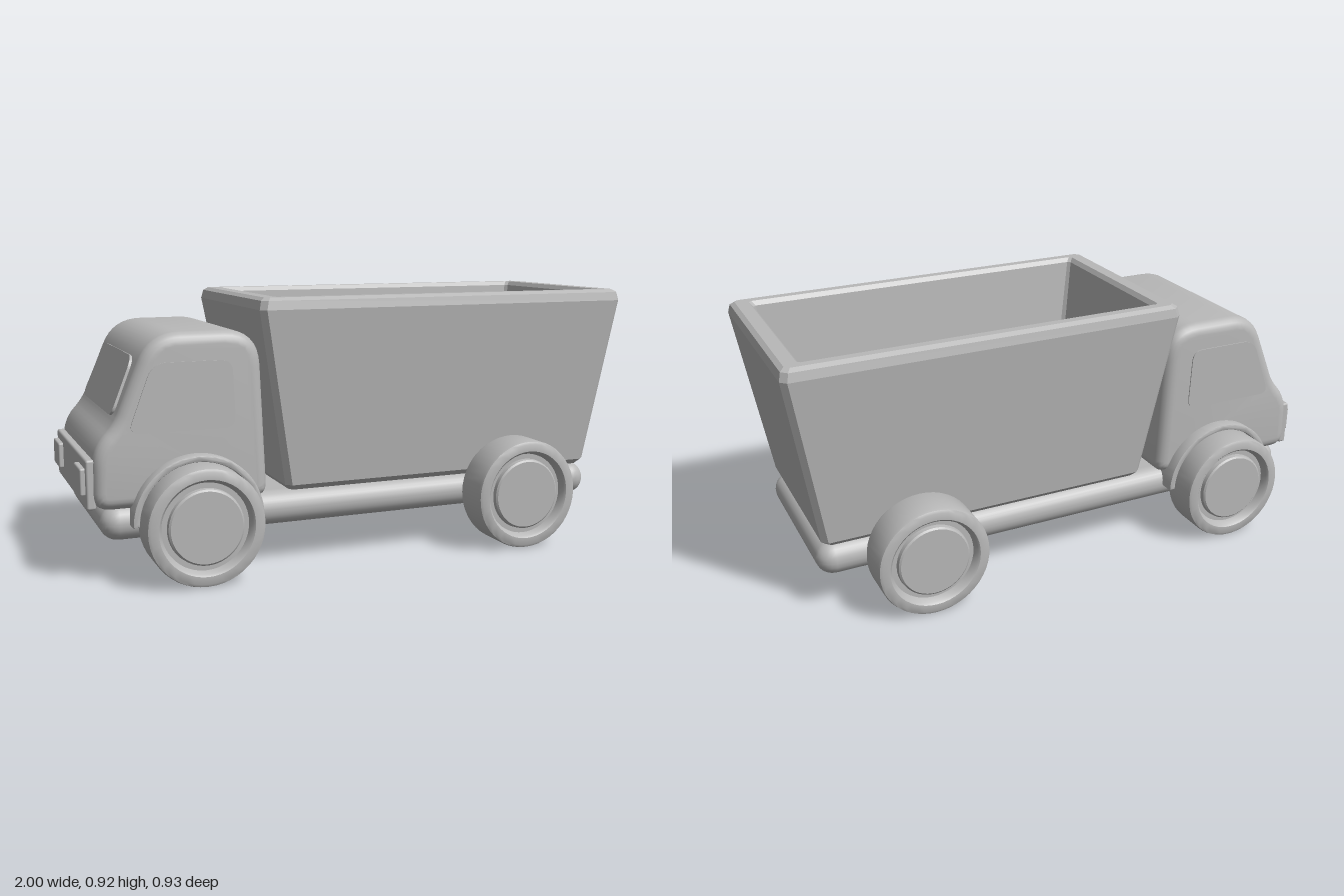
import * as THREE from 'three';
import { toCreasedNormals } from 'three/addons/utils/BufferGeometryUtils.js';
import { RoundedBoxGeometry } from 'three/addons/geometries/RoundedBoxGeometry.js';

// Closed shape from corners [x, y, radius], each corner rounded
function roundedShape(corners) {
  const shape = new THREE.Shape();
  const n = corners.length;
  corners.forEach(([x, y, r], i) => {
    const toward = ([px, py]) => {
      const d = Math.hypot(px - x, py - y);
      return [x + ((px - x) * r) / d, y + ((py - y) * r) / d];
    };
    const a = toward(corners[(i + n - 1) % n]);
    const b = toward(corners[(i + 1) % n]);
    if (i === 0) shape.moveTo(...a);
    else shape.lineTo(...a);
    shape.quadraticCurveTo(x, y, ...b);
  });
  shape.closePath();
  return shape;
}

// Skin over chamfered rectangles [y, x0, x1, halfZ, chamfer]; y may go up and down again
function loftRectangles(sections) {
  const rings = sections.map(([y, x0, x1, z, c]) => [
    [x1, y, -z + c], [x1, y, z - c], [x1 - c, y, z], [x0 + c, y, z],
    [x0, y, z - c], [x0, y, -z + c], [x0 + c, y, -z], [x1 - c, y, -z],
  ]);
  const pos = [];
  for (let i = 0; i < rings.length - 1; i++) {
    for (let k = 0; k < 8; k++) {
      const m = (k + 1) % 8;
      const a = rings[i][k], b = rings[i][m], c = rings[i + 1][m], d = rings[i + 1][k];
      if (i < rings.length - 2) pos.push(...a, ...d, ...c);
      if (i > 0) pos.push(...a, ...c, ...b);
    }
  }
  const g = new THREE.BufferGeometry();
  g.setAttribute('position', new THREE.Float32BufferAttribute(pos, 3));
  g.computeVertexNormals();
  return g;
}

export function createModel() {
  const truck = new THREE.Group();
  truck.name = 'toyTruck';
  const grey = new THREE.MeshStandardMaterial({ color: 0xb8b8b8 });
  grey.name = 'plain grey';

  const add = (name, geometry, x = 0, y = 0, z = 0) => {
    const mesh = new THREE.Mesh(geometry, grey);
    mesh.name = name;
    mesh.position.set(x, y, z);
    truck.add(mesh);
    return mesh;
  };
  const creased = (g, angle = 0.6) => toCreasedNormals(g, angle);

  // Chassis slab with rounded rim
  add('chassis', new RoundedBoxGeometry(1.855, 0.12, 0.645, 3, 0.059), -0.012, 0.2, 0);

  // Flared open load bed: underside, outer walls, rim, inner walls, floor
  add('loadBed', loftRectangles([
    [0.26, 0.3, 0.3, 0, 0],
    [0.26, -0.29, 0.88, 0.3, 0.015],
    [0.28, -0.308, 0.9, 0.32, 0.02],
    [0.885, -0.412, 0.997, 0.378, 0.02],
    [0.915, -0.405, 0.99, 0.372, 0.02],
    [0.925, -0.39, 0.975, 0.355, 0.015],
    [0.925, -0.345, 0.93, 0.325, 0.01],
    [0.91, -0.333, 0.918, 0.313, 0.01],
    [0.38, -0.262, 0.848, 0.272, 0.015],
    [0.34, -0.235, 0.82, 0.25, 0.015],
    [0.34, 0.3, 0.3, 0, 0],
  ]));

  // Cab: side profile extruded across with soft edges
  const cabShape = roundedShape([
    [-0.965, 0.25, 0.06], [-0.375, 0.25, 0.05], [-0.4, 0.82, 0.12],
    [-0.768, 0.82, 0.1], [-0.89, 0.53, 0.04], [-0.96, 0.455, 0.06],
  ]);
  const cab = new THREE.ExtrudeGeometry(cabShape, {
    depth: 0.58, bevelEnabled: true, bevelThickness: 0.04, bevelSize: 0.04,
    bevelOffset: -0.04, bevelSegments: 5, curveSegments: 8,
  });
  add('cab', creased(cab), 0, 0, -0.29);

  // Side windows, thin plates on both cab sides
  const sideWindow = new THREE.ExtrudeGeometry(roundedShape([
    [-0.85, 0.5, 0.04], [-0.49, 0.5, 0.04], [-0.5, 0.725, 0.04], [-0.765, 0.725, 0.05],
  ]), { depth: 0.006, bevelEnabled: false });
  add('leftSideWindow', sideWindow, 0, 0, 0.328);
  add('rightSideWindow', sideWindow, 0, 0, -0.334);

  // Windscreen, a thin plate lying on the sloping front
  const slope = new THREE.Vector3(0.122, 0.29, 0).normalize();
  const outward = new THREE.Vector3(-slope.y, slope.x, 0);
  const windscreen = new THREE.ExtrudeGeometry(roundedShape([
    [-0.26, 0.02, 0.04], [0.26, 0.02, 0.04], [0.24, 0.225, 0.05], [-0.24, 0.225, 0.05],
  ]), { depth: 0.009, bevelEnabled: false });
  windscreen.applyMatrix4(new THREE.Matrix4().makeBasis(new THREE.Vector3(0, 0, 1), slope, outward));
  add('windscreen', windscreen, -0.89, 0.53, 0);

  // Front panel carrying two rectangular lamps
  add('frontPanel', new RoundedBoxGeometry(0.03, 0.165, 0.61, 2, 0.008), -0.968, 0.337, 0);
  for (const s of [1, -1]) {
    add(s > 0 ? 'leftHeadlamp' : 'rightHeadlamp',
      new RoundedBoxGeometry(0.03, 0.09, 0.12, 2, 0.006), -0.985, 0.345, 0.228 * s);
  }

  // Wheels: tyre with rolled edges, recessed ring and raised hub disc
  const wheelProfile = [
    [0, 0], [0.185, 0], [0.194, 0.005], [0.197, 0.014], [0.197, 0.131], [0.194, 0.14],
    [0.185, 0.145], [0.16, 0.145], [0.153, 0.138], [0.146, 0.115], [0.128, 0.115],
    [0.126, 0.13], [0.12, 0.135], [0, 0.135],
  ].map(([r, h]) => new THREE.Vector2(r, h));
  const wheel = creased(new THREE.LatheGeometry(wheelProfile, 48).rotateX(Math.PI / 2));

  // Arch over each front wheel
  const arch = new THREE.Shape();
  arch.absarc(0, 0, 0.222, 0, Math.PI, false);
  arch.absarc(0, 0, 0.199, Math.PI, 0, true);
  arch.closePath();
  const fender = creased(new THREE.ExtrudeGeometry(arch, {
    depth: 0.09, bevelEnabled: true, bevelThickness: 0.006, bevelSize: 0.006,
    bevelOffset: -0.006, bevelSegments: 2, curveSegments: 24,
  }));

  for (const s of [1, -1]) {
    const side = s > 0 ? 'left' : 'right';
    for (const [end, x] of [['Front', -0.628], ['Rear', 0.563]]) {
      const w = add(`${side}${end}Wheel`, wheel, x, 0.2, 0.32 * s);
      if (s < 0) w.rotation.y = Math.PI;
    }
    add(`${side}FrontFender`, fender, -0.628, 0.2, s > 0 ? 0.277 : -0.367);
  }

  return truck;
}
